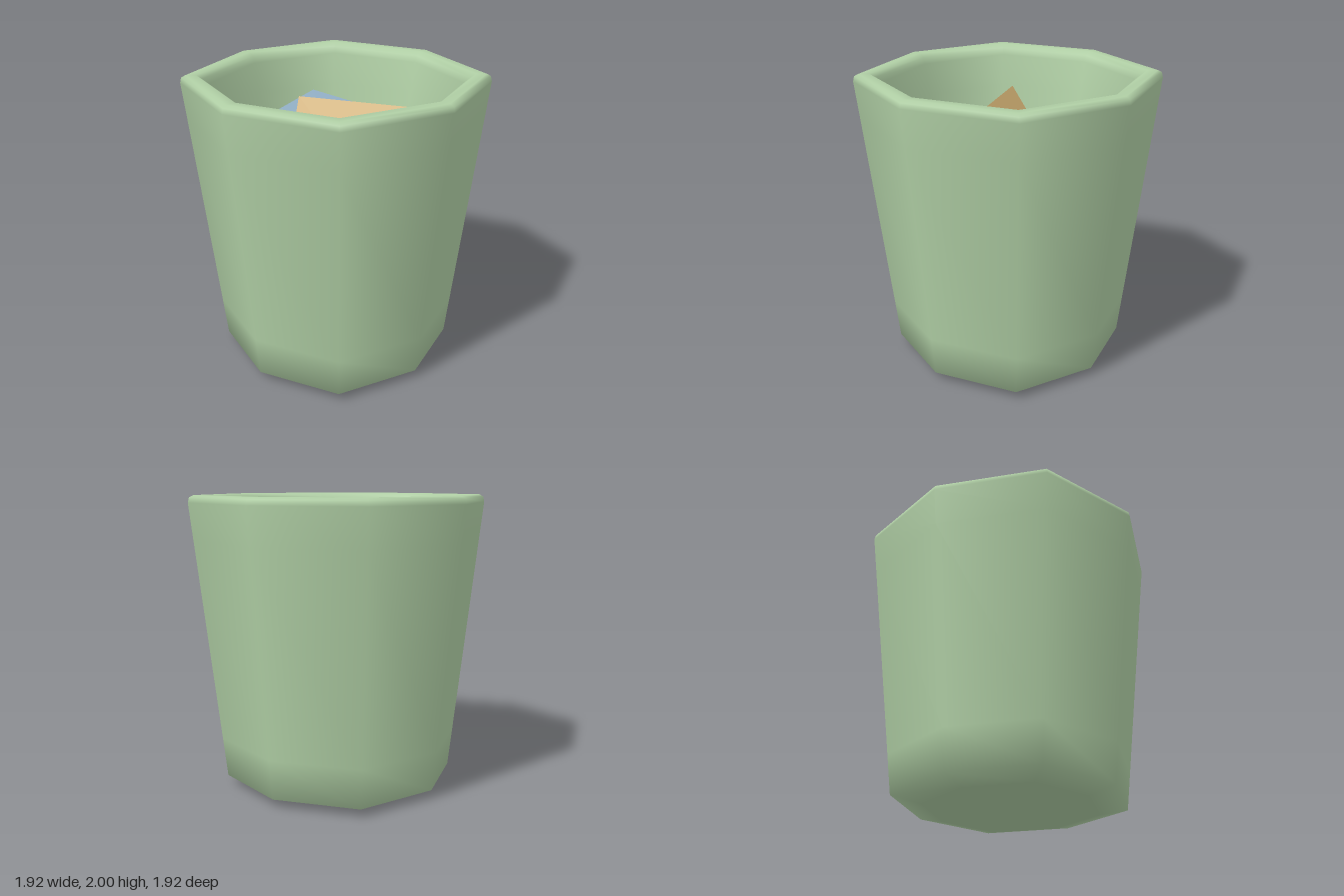
import * as THREE from 'three';

const mat = (color, flatShading = false) => new THREE.MeshStandardMaterial({ color, flatShading });

// Eight-sided tapered shell: outside, rim and inside in one profile
function makeBin() {
  const profile = [
    [0, 0], [0.56, 0.015], [0.75, 0.06], [0.78, 0.33], [0.932, 1.7], [0.96, 1.95], [0.952, 1.985],
    [0.925, 2], [0.86, 2], [0.825, 1.975], [0.81, 1.93], [0.77, 1.72], [0.7, 1.31], [0.665, 1.07],
    [0.6, 0.36], [0.56, 0.16], [0, 0.12],
  ].map(([r, y]) => new THREE.Vector2(r, y));
  const geo = new THREE.LatheGeometry(profile, 8);
  // Push the diagonal corners out a little
  const pos = geo.attributes.position;
  for (let i = 0; i < pos.count; i++) {
    const x = pos.getX(i), z = pos.getZ(i);
    if (Math.abs(x) > 0.01 && Math.abs(z) > 0.01) pos.setXYZ(i, x * 1.06, pos.getY(i), z * 1.06);
  }
  const bin = new THREE.Mesh(geo, mat(0xb0cfa5));
  bin.name = 'bin';
  return bin;
}

// Pyramid placed by its base centre, one base corner and the direction of its tip
function makePyramid(name, color, sides, height, center, corner, tipDirection) {
  const c = new THREE.Vector3(...center);
  const y = new THREE.Vector3(...tipDirection).normalize();
  const z = new THREE.Vector3(...corner).sub(c);
  const radius = z.length();
  z.addScaledVector(y, -z.dot(y)).normalize();
  const x = new THREE.Vector3().crossVectors(y, z);
  const geo = new THREE.ConeGeometry(radius, height, sides).translate(0, height / 2, 0);
  const mesh = new THREE.Mesh(geo, mat(color, true));
  mesh.quaternion.setFromRotationMatrix(new THREE.Matrix4().makeBasis(x, y, z));
  mesh.position.copy(c);
  mesh.name = name;
  return mesh;
}

export function createModel() {
  const group = new THREE.Group();
  group.name = 'wasteBin';
  group.add(
    makeBin(),
    // Scraps lying inside with their bases turned up
    makePyramid('blueScrap', 0x8eabc1, 5, 1.1, [-0.028, 1.495, 0.03], [0.64, 1.33, 0], [-0.259, -1, -0.214]),
    makePyramid('tanScrap', 0xcfae72, 4, 1.13, [0.258, 1.493, 0.165], [-0.2, 1.845, 0.15], [-0.361, -0.503, -0.785]),
  );
  return group;
}
